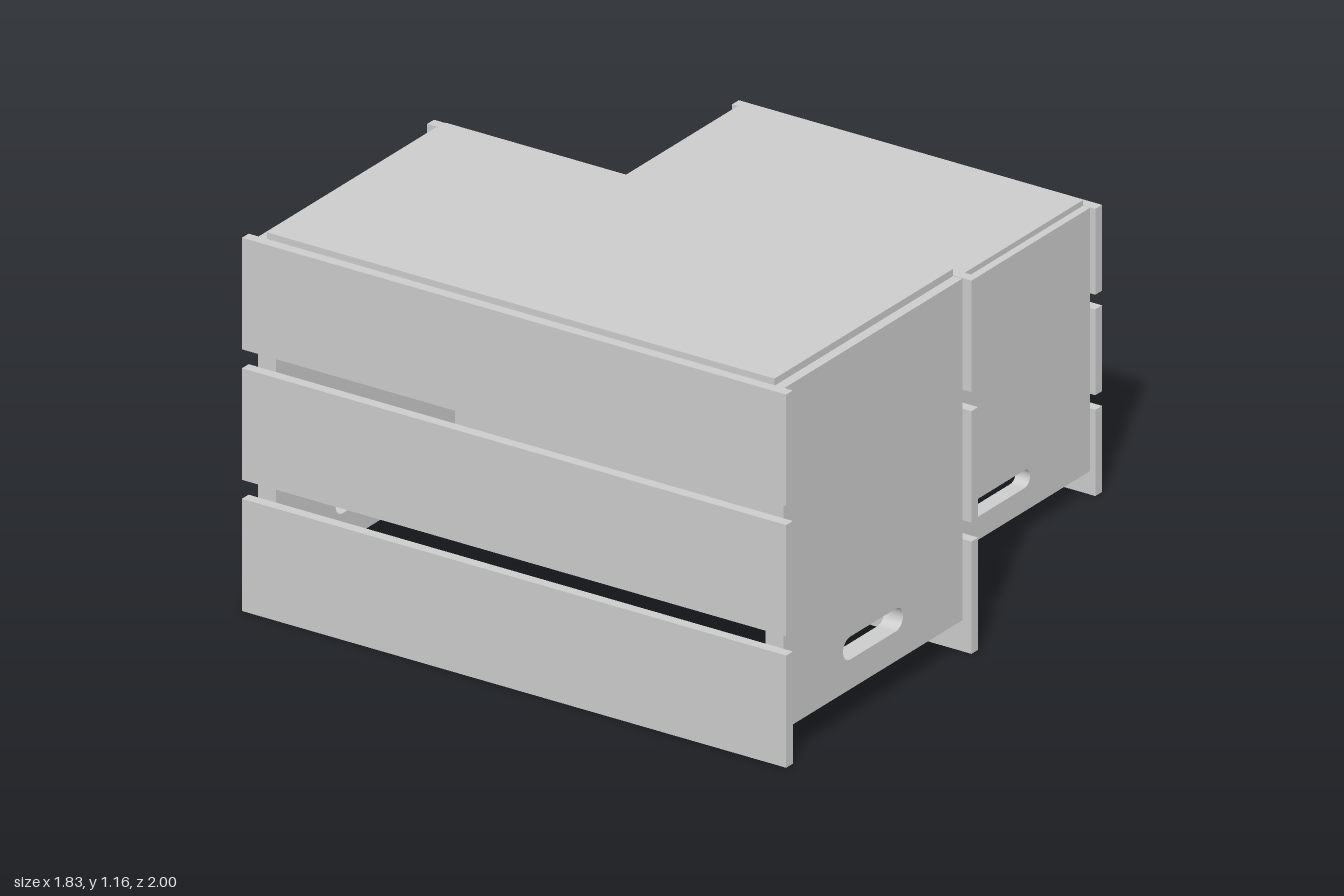
import * as THREE from 'three';

const material = new THREE.MeshStandardMaterial({ color: 0xcccccc, flatShading: true });

function addBox(parent, name, [x0, x1], [y0, y1], [z0, z1]) {
  const mesh = new THREE.Mesh(new THREE.BoxGeometry(x1 - x0, y1 - y0, z1 - z0), material);
  mesh.position.set((x0 + x1) / 2, (y0 + y1) / 2, (z0 + z1) / 2);
  mesh.name = name;
  parent.add(mesh);
}

// End board drawn in the z-y plane, with a rounded hand slot
function endBoardGeometry(p) {
  const [z0, z1] = p.inner;
  const shape = new THREE.Shape([
    new THREE.Vector2(z0, p.endBottom), new THREE.Vector2(z1, p.endBottom),
    new THREE.Vector2(z1, p.endTop), new THREE.Vector2(z0, p.endTop),
  ]);
  const [s0, s1] = p.slotZ, [b, t] = p.slotY;
  const r = (t - b) / 2, cy = (b + t) / 2;
  const slot = new THREE.Path();
  slot.absarc(s1 - r, cy, r, -Math.PI / 2, Math.PI / 2, false);
  slot.absarc(s0 + r, cy, r, Math.PI / 2, Math.PI * 1.5, false);
  slot.closePath();
  shape.holes.push(slot);
  const geometry = new THREE.ExtrudeGeometry(shape, { depth: p.endThickness, bevelEnabled: false, curveSegments: 10 });
  geometry.rotateY(-Math.PI / 2);
  geometry.translate(p.endThickness / 2, 0, 0);
  return geometry;
}

// Upturned crate: slatted long sides, solid ends and a lid board
function createCrate(p) {
  const crate = new THREE.Group();
  crate.name = p.name;

  // Three slats on the front and back
  for (const [y0, y1] of p.slats) {
    addBox(crate, 'frontSlat', [-p.halfWidth, p.halfWidth], [y0, y1], [p.inner[1], p.outer[1]]);
    addBox(crate, 'backSlat', [-p.halfWidth, p.halfWidth], [y0, y1], [p.outer[0], p.inner[0]]);
  }

  // Solid ends with hand slots
  const endGeometry = endBoardGeometry(p);
  for (const side of [1, -1]) {
    const end = new THREE.Mesh(endGeometry, material);
    end.name = side > 0 ? 'leftEnd' : 'rightEnd';
    end.position.x = side * (p.endOuter - p.endThickness / 2);
    crate.add(end);
  }

  // Lid board, set between the slats and proud of them
  addBox(crate, 'lid', [-p.lidHalf, p.lidHalf], [p.lidBottom, p.lidTop], p.inner);
  return crate;
}

export function createModel() {
  const model = new THREE.Group();
  model.name = 'crates';
  model.add(
    createCrate({
      name: 'largeCrate', halfWidth: 0.917,
      outer: [0.055, 1], inner: [0.088, 0.967],
      slats: [[0, 0.344], [0.402, 0.744], [0.802, 1.144]],
      endOuter: 0.886, endThickness: 0.062, endBottom: 0.095, endTop: 1.142,
      slotZ: [0.38, 0.675], slotY: [0.186, 0.256],
      lidHalf: 0.855, lidBottom: 1.13, lidTop: 1.164,
    }),
    createCrate({
      name: 'smallCrate', halfWidth: 0.612,
      outer: [-1, -0.055], inner: [-0.967, -0.088],
      slats: [[0, 0.264], [0.309, 0.572], [0.617, 0.88]],
      endOuter: 0.594, endThickness: 0.048, endBottom: 0.072, endTop: 0.879,
      slotZ: [-0.672, -0.375], slotY: [0.143, 0.198],
      lidHalf: 0.57, lidBottom: 0.87, lidTop: 0.896,
    }),
  );
  return model;
}
